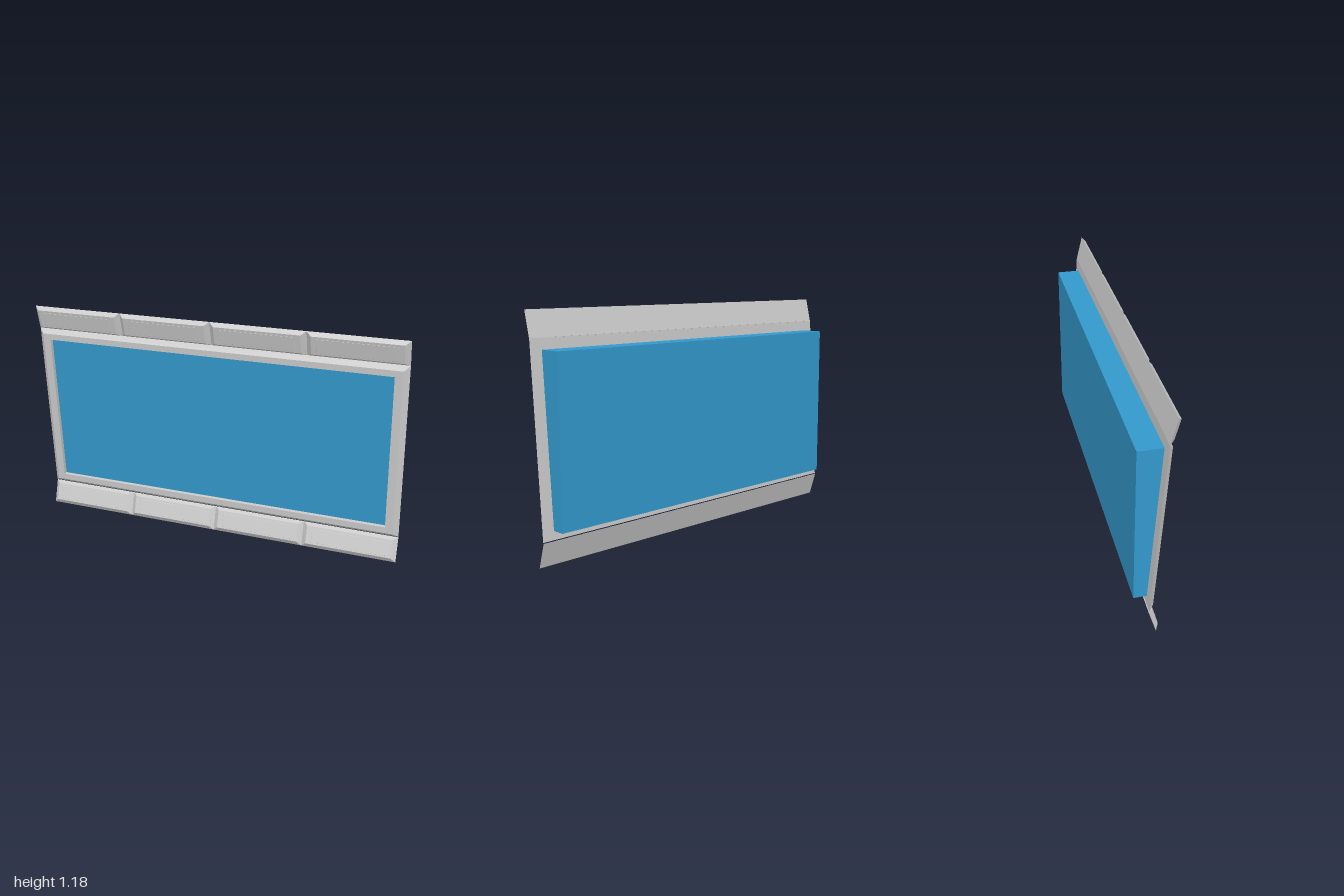
import * as THREE from 'three';

const grey = new THREE.MeshStandardMaterial({ color: 0xcccccc, flatShading: true });
const blue = new THREE.MeshStandardMaterial({ color: 0x3399cc, flatShading: true });

// Rectangular section: x range plus bottom and top edges given as [y, z]
const ring = (x0, x1, [yb, zb], [yt, zt]) => [[x0, yb, zb], [x1, yb, zb], [x1, yt, zt], [x0, yt, zt]];

// Joins sections from back to front; capped makes a solid, otherwise the sections close into a loop
function loft(name, rings, material, capped = true) {
  const pos = [];
  const quad = (a, b, c, d) => pos.push(...a, ...b, ...c, ...a, ...c, ...d);
  const spans = capped ? rings.length - 1 : rings.length;
  for (let k = 0; k < spans; k++) {
    const a = rings[k], b = rings[(k + 1) % rings.length];
    for (let i = 0; i < 4; i++) {
      const j = (i + 1) % 4;
      quad(a[i], a[j], b[j], b[i]);
    }
  }
  if (capped) {
    quad(...[...rings[0]].reverse());
    quad(...rings[rings.length - 1]);
  }
  const geometry = new THREE.BufferGeometry();
  geometry.setAttribute('position', new THREE.Float32BufferAttribute(pos, 3));
  geometry.computeVertexNormals();
  const mesh = new THREE.Mesh(geometry, material);
  mesh.name = name;
  return mesh;
}

// Row of four bevelled panels, each with a thin raised plate
function panelRow(name, backBottom, backTop, frontBottom, frontTop) {
  const row = new THREE.Group();
  row.name = name;
  const onFace = (t, lift) => [
    THREE.MathUtils.lerp(frontBottom[0], frontTop[0], t),
    THREE.MathUtils.lerp(frontBottom[1], frontTop[1], t) + lift,
  ];
  for (let i = 0; i < 4; i++) {
    const x = -1 + i * 0.5;
    row.add(loft('panel', [
      ring(x, x + 0.5, backBottom, backTop),
      ring(x + 0.025, x + 0.475, frontBottom, frontTop),
    ], grey));
    row.add(loft('panelPlate', [
      ring(x + 0.05, x + 0.45, onFace(0.08, -0.002), onFace(0.88, -0.002)),
      ring(x + 0.055, x + 0.445, onFace(0.1, 0.001), onFace(0.86, 0.001)),
    ], grey));
  }
  return row;
}

export function createModel() {
  const group = new THREE.Group();

  // Leaning plane of the frame
  const back = (y) => [y, -0.025 + 0.067 * (y - 0.13)];
  const front = (y) => [y, back(y)[1] + 0.023];

  // Bevelled screen frame with a straight-walled opening
  group.add(loft('screenFrame', [
    ring(-1, 1, back(0.13), back(1.058)),
    ring(-0.973, 0.973, front(0.15), front(1.032)),
    ring(-0.932, 0.932, front(0.184), front(1.0)),
    ring(-0.932, 0.932, back(0.185), back(1.001)),
  ], grey, false));

  // Blue screen body: upright back, leaning front
  const screenFront = (y) => [y, back(y)[1] + 0.001];
  group.add(loft('screen', [
    ring(-0.937, 0.937, [0.173, -0.087], [1.004, -0.087]),
    ring(-0.937, 0.937, screenFront(0.173), screenFront(1.004)),
  ], blue));

  group.add(panelRow('upperPanels', [1.058, 0.038], [1.185, 0.069], [1.07, 0.063], [1.165, 0.088]));
  group.add(panelRow('lowerPanels', [0, 0.01], [0.126, -0.028], [0.025, 0.025], [0.117, -0.004]));

  return group;
}
